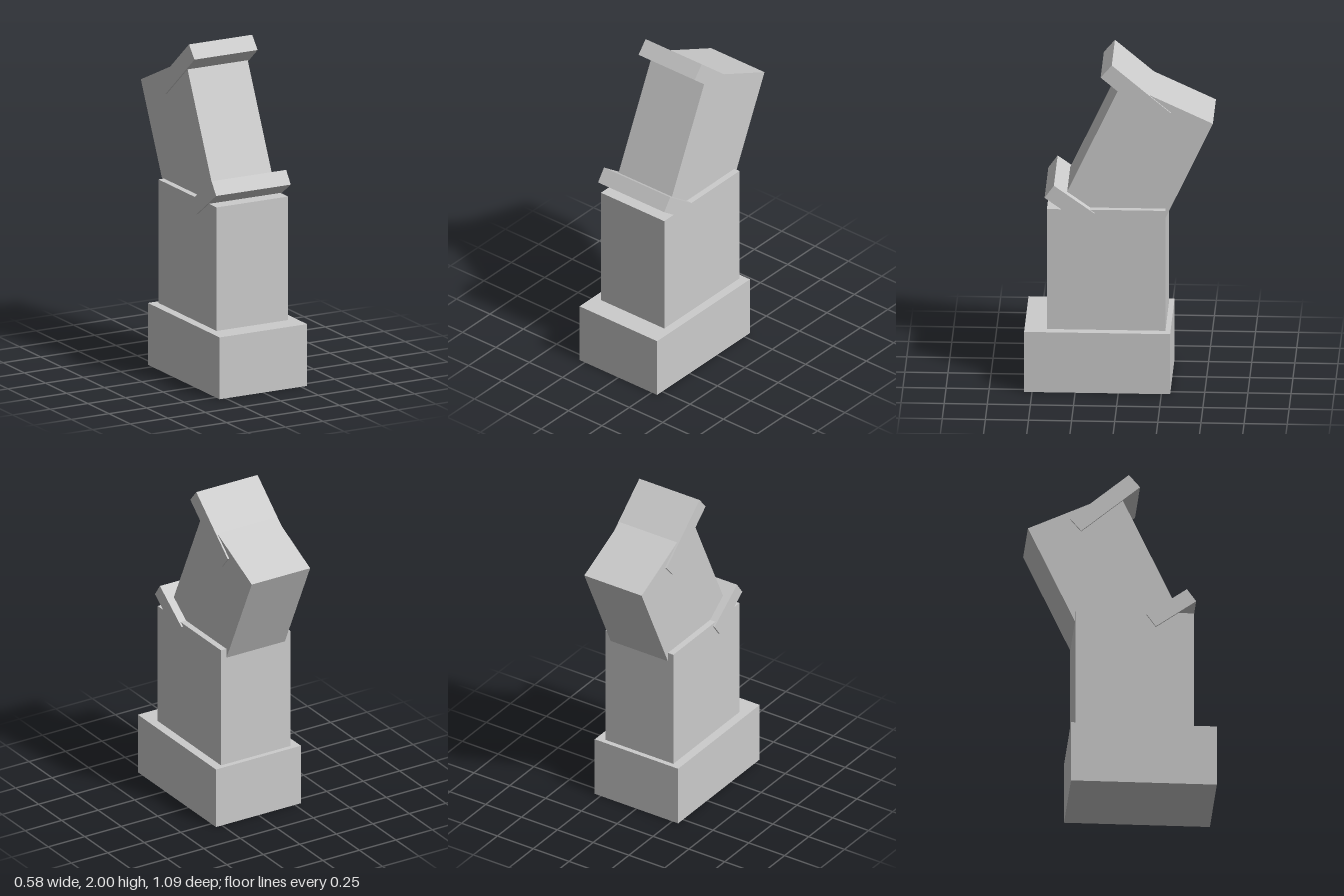
import * as THREE from 'three';

export function createModel() {
  const group = new THREE.Group();
  const material = new THREE.MeshStandardMaterial({ color: 0xcccccc, flatShading: true });

  // Box centred on x = 0, tilted back about the x axis by a number of degrees
  function block(name, [w, h, d], [y, z], tilt = 0) {
    const mesh = new THREE.Mesh(new THREE.BoxGeometry(w, h, d), material);
    mesh.name = name;
    mesh.position.set(0, y, z);
    mesh.rotation.x = -THREE.MathUtils.degToRad(tilt);
    group.add(mesh);
  }

  // Upright foot and lower column
  block('base', [0.582, 0.372, 0.847], [0.186, 0.1225]);
  block('lowerBlock', [0.475, 0.765, 0.687], [0.7325, 0.0725]);

  // Leaning upper column, sunk into the lower one
  block('upperBlock', [0.4, 0.807, 0.582], [1.4025, -0.1105], 25);

  // Slanted slabs at the joint and at the top
  block('jointSlab', [0.496, 0.093, 0.288], [1.1425, 0.285], 35.6);
  block('topSlab', [0.42, 0.1, 0.448], [1.8175, -0.0975], 40.3);

  return group;
}
